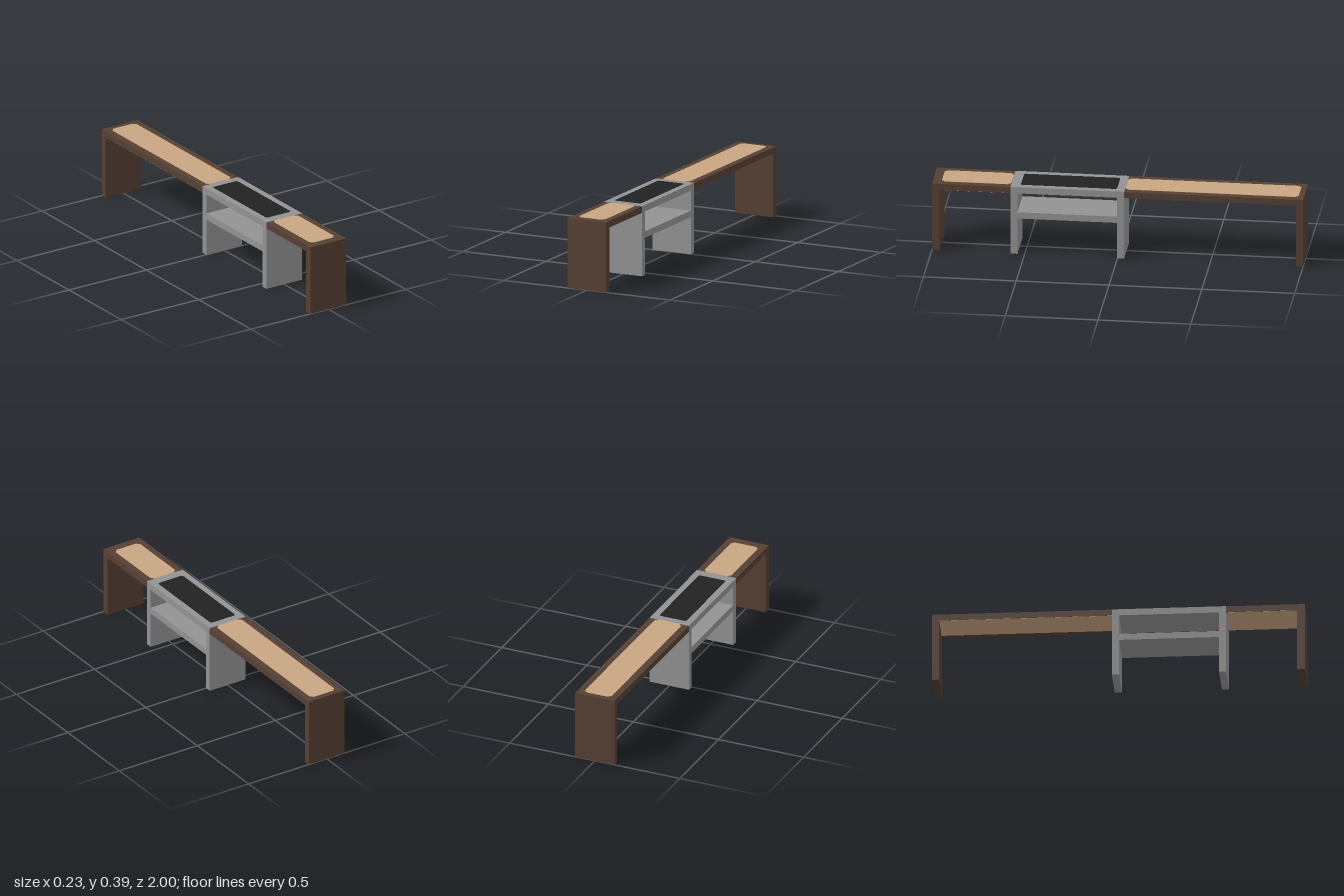
import * as THREE from 'three';

const W = 0.23, H = 0.384, T = 0.035; // width, height, board thickness
const Z0 = -0.036, Z1 = 0.577; // extent of the metal section

export function createModel() {
  const mat = (name, color) => {
    const m = new THREE.MeshStandardMaterial({ color });
    m.name = name;
    return m;
  };
  const wood = mat('dark wood', 0x553f33);
  const tan = mat('tan inlay', 0xc8a582);
  const metal = mat('grey metal', 0x929292);
  const black = mat('black top', 0x222222);

  const model = new THREE.Group();
  model.name = 'bench';

  const group = (name) => {
    const g = new THREE.Group();
    g.name = name;
    model.add(g);
    return g;
  };

  // Box given by its y and z extents, full width unless told otherwise
  const board = (parent, name, material, y0, y1, z0, z1, x0 = -W / 2, x1 = W / 2) => {
    const mesh = new THREE.Mesh(new THREE.BoxGeometry(x1 - x0, y1 - y0, z1 - z0), material);
    mesh.position.set((x0 + x1) / 2, (y0 + y1) / 2, (z0 + z1) / 2);
    mesh.name = name;
    parent.add(mesh);
  };

  // Thin horizontal plate with clipped corners, laid on the top surface
  const inlay = (parent, name, material, z0, z1, c) => {
    const w = 0.079;
    const s = new THREE.Shape([
      [-w + c, z0], [w - c, z0], [w, z0 + c], [w, z1 - c],
      [w - c, z1], [-w + c, z1], [-w, z1 - c], [-w, z0 + c],
    ].map(([x, z]) => new THREE.Vector2(x, -z)));
    const geo = new THREE.ExtrudeGeometry(s, { depth: 0.002, bevelEnabled: false });
    geo.rotateX(-Math.PI / 2);
    const mesh = new THREE.Mesh(geo, material);
    mesh.position.y = H - 0.0005;
    mesh.name = name;
    parent.add(mesh);
  };

  // Long wooden wing towards the back
  const back = group('backWing');
  board(back, 'seat', wood, H - T, H, -1, Z0);
  board(back, 'endLeg', wood, 0, H - T, -1, -0.962);
  inlay(back, 'seatInlay', tan, -0.97, Z0 - 0.001, 0.018);
  board(back, 'undersidePanel', tan, H - T - 0.001, H - T + 0.001, -0.962, Z0, -W / 2 + 0.001, 0.078);

  // Short wooden wing towards the front
  const front = group('frontWing');
  board(front, 'seat', wood, H - T, H, Z1, 1);
  board(front, 'endLeg', wood, 0, H - T, 0.958, 1);
  inlay(front, 'seatInlay', tan, Z1 + 0.001, 0.952, 0.018);
  board(front, 'undersidePanel', tan, H - T - 0.001, H - T + 0.001, Z1, 0.958, -W / 2 + 0.001, W / 2 - 0.001);

  // Metal table section with an open shelf
  const table = group('metalTable');
  const leg = 0.038;
  board(table, 'tableTop', metal, H - T, H + 0.001, Z0, Z1);
  board(table, 'backLeg', metal, 0, H - T, Z0, Z0 + leg);
  board(table, 'frontLeg', metal, 0, H - T, Z1 - leg, Z1);
  board(table, 'shelf', metal, 0.204, 0.24, Z0 + leg, Z1 - leg);
  inlay(table, 'tableInlay', black, 0.007, 0.525, 0.008);

  return model;
}
